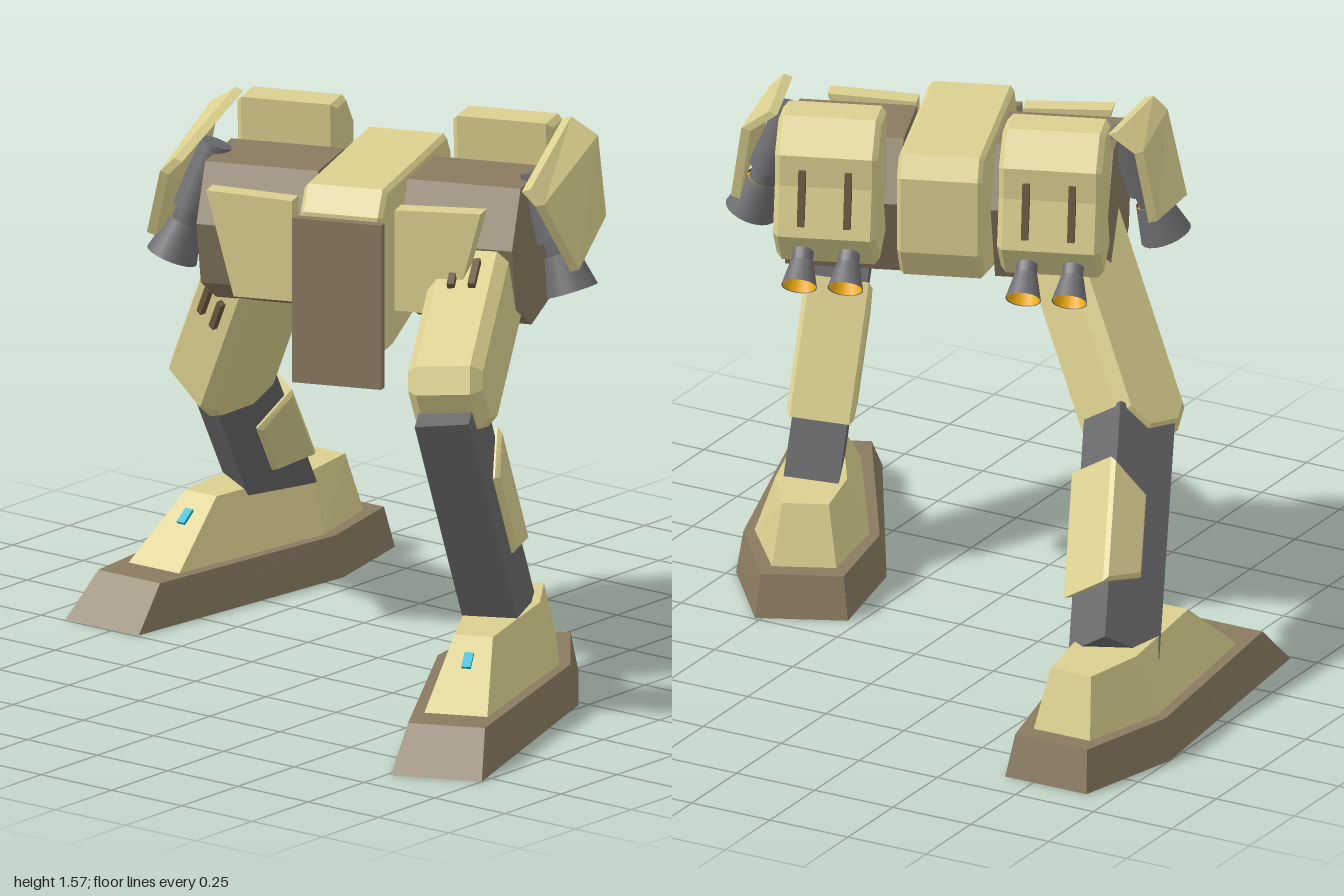
import * as THREE from 'three';

const V = (x, y, z) => new THREE.Vector3(x, y, z);
const rad = THREE.MathUtils.degToRad;
const flat = (color) => new THREE.MeshStandardMaterial({ color, flatShading: true, side: THREE.DoubleSide });
const smooth = (color) => new THREE.MeshStandardMaterial({ color, side: THREE.DoubleSide });
const armor = flat(0xdbd08f), brown = flat(0x8a7a60), grey = flat(0x68686a), vent = flat(0x6b5a40);
const cyan = flat(0x18b8d0), metal = smooth(0x6e6e72), gold = smooth(0xf5b010);

function add(parent, name, geometry, material, x = 0, y = 0, z = 0) {
  const m = new THREE.Mesh(geometry, material);
  m.name = name;
  m.position.set(x, y, z);
  parent.add(m);
  return m;
}

function group(parent, name) {
  const g = new THREE.Group();
  g.name = name;
  parent.add(g);
  return g;
}

// Side profile of [z, y] points, extruded across x and centred on x = 0
function sideProfile(points, width, bevel = 0) {
  const geo = new THREE.ExtrudeGeometry(new THREE.Shape(points.map(([z, y]) => new THREE.Vector2(z, y))), {
    depth: width - 2 * bevel, bevelEnabled: bevel > 0, bevelSize: bevel, bevelThickness: bevel,
    bevelOffset: -bevel, bevelSegments: 1,
  });
  geo.translate(0, 0, bevel - width / 2);
  return geo.rotateY(-Math.PI / 2);
}

// Front outline of [x, y] points, extruded along z
function plate(points, depth) {
  const shape = new THREE.Shape(points.map(([x, y]) => new THREE.Vector2(x, y)));
  return new THREE.ExtrudeGeometry(shape, { depth, bevelEnabled: false });
}

// Closed solid between two loops; loops run counterclockwise seen from loop b
function loft(a, b) {
  const n = a.length, index = [], pos = [...a, ...b].flatMap((p) => p.toArray());
  for (let i = 0; i < n; i++) {
    const j = (i + 1) % n;
    index.push(i, j, n + j, i, n + j, n + i);
    if (i > 0 && i < n - 1) index.push(0, i + 1, i, n, n + i, n + i + 1);
  }
  const geo = new THREE.BufferGeometry();
  geo.setAttribute('position', new THREE.Float32BufferAttribute(pos, 3));
  geo.setIndex(index);
  const out = geo.toNonIndexed();
  out.computeVertexNormals();
  return out;
}

// Places a group at a with -y running to b and +z facing the given yaw
function aim(g, a, b, yaw) {
  const y = a.clone().sub(b).normalize();
  const z = V(Math.sin(rad(yaw)), 0, Math.cos(rad(yaw)));
  z.addScaledVector(y, -z.dot(y)).normalize();
  g.quaternion.setFromRotationMatrix(new THREE.Matrix4().makeBasis(y.clone().cross(z), y, z));
  g.position.copy(a);
  return a.distanceTo(b);
}

// Six-sided sole outline from front, middle and rear [half width, z]
function soleRing(y, f, m, r) {
  return [f, m, r].map(([w, z]) => V(w, y, z)).concat([r, m, f].map(([w, z]) => V(-w, y, z)));
}

function foot(parent, name, x, z, yaw) {
  const g = group(parent, name);
  g.position.set(x, 0, z);
  g.rotation.y = rad(yaw);
  add(g, 'sole', loft(
    soleRing(0, [0.13, 0.81], [0.21, 0], [0.13, -0.33]),
    soleRing(0.12, [0.11, 0.69], [0.19, 0.01], [0.115, -0.3])), brown);
  add(g, 'footArmor', loft(
    soleRing(0.12, [0.09, 0.58], [0.16, 0.02], [0.09, -0.24]),
    soleRing(0.29, [0.055, 0.37], [0.1, 0], [0.065, -0.19])), armor);
  add(g, 'footLight', new THREE.BoxGeometry(0.026, 0.012, 0.05), cyan, 0, 0.237, 0.44).rotation.x = rad(39);
}

function leg(parent, side, hip, kneeEnd, knee, ankle, yaw) {
  // Thigh with a chamfered knee end
  const t = group(parent, side + 'Thigh');
  const L = aim(t, hip, kneeEnd, yaw);
  add(t, 'thighArmor', sideProfile([
    [0.1, 0.06], [0.128, 0], [0.128, -L + 0.06], [0.075, -L], [-0.06, -L], [-0.128, -L + 0.08], [-0.128, 0], [-0.1, 0.06],
  ], 0.215, 0.03), armor);
  for (const x of [-0.03, 0.03]) {
    add(t, 'thighVent', new THREE.BoxGeometry(0.02, 0.1, 0.03), vent, x, -L * 0.45, 0.13);
  }
  // Shin with a calf guard behind
  const s = group(parent, side + 'Shin');
  const S = aim(s, knee, ankle, yaw);
  add(s, 'shin', new THREE.BoxGeometry(0.155, S, 0.2), grey, 0, -S / 2, 0);
  add(s, 'calfGuard', sideProfile([
    [0.01, -0.35 * S], [-0.125, -0.25 * S], [-0.125, -0.78 * S], [0.01, -0.7 * S],
  ], 0.19, 0.012), armor);
}

// Flared open nozzle with a bright inside, pointing along -y
function bell(g, y, r1, r2, h) {
  add(g, 'nozzleBell', new THREE.CylinderGeometry(r1, r2, h, 20, 1, true), metal, 0, y - h / 2, 0);
  add(g, 'nozzleInside', new THREE.CylinderGeometry(r1 * 0.9, r2 * 0.94, h * 0.96, 20, 1, true), gold, 0, y - h / 2, 0);
  add(g, 'nozzleBack', new THREE.CircleGeometry(r1, 20), gold, 0, y - h * 0.1, 0).rotation.x = Math.PI / 2;
}

function hipSide(p, side, s) {
  const q = (x, y, z) => V(s * x, y, z);
  const mirrored = (a, b) => (s > 0 ? loft(a, b) : loft(a.reverse(), b.reverse()));
  const g = group(p, side + 'HipAssembly');

  add(g, 'hipBlock', sideProfile([
    [0.2, 1.3], [0.12, 1.46], [-0.12, 1.46], [-0.22, 1.3], [-0.14, 1.07], [0.02, 1.04], [0.16, 1.12],
  ], 0.33), brown, s * 0.295);

  add(g, 'frontSkirt', plate([[0.15, 1.42], [0.4, 1.43], [0.32, 1.13], [0.15, 1.13]].map(([x, y]) => [s * x, y]), 0.06),
    armor, 0, 0, 0.24);

  // Rear pod with vents and twin small nozzles
  add(g, 'rearPod', sideProfile([
    [-0.16, 1.57], [-0.27, 1.57], [-0.345, 1.48], [-0.345, 1.39], [-0.38, 1.25], [-0.3, 1.15], [-0.18, 1.2],
  ], 0.29, 0.015), armor, s * 0.315);
  for (const x of [0.25, 0.38]) {
    const v = add(g, 'podVent', new THREE.BoxGeometry(0.02, 0.16, 0.025), vent, s * x, 1.36, -0.357);
    v.rotation.x = rad(10);
    const n = group(g, 'podNozzle');
    aim(n, q(x, 1.21, -0.31), q(x, 1.11, -0.41), 0);
    add(n, 'nozzleNeck', new THREE.CylinderGeometry(0.03, 0.03, 0.08, 16), metal, 0, -0.04, 0);
    bell(n, -0.06, 0.032, 0.05, 0.075);
  }

  // Bent side shield: narrow top panel and tall lower panel
  const top = [q(0.49, 1.57, -0.25), q(0.52, 1.49, 0.22)];
  const fold = [q(0.565, 1.52, -0.26), q(0.56, 1.45, 0.22)];
  const low = [q(0.6, 1.3, -0.225), q(0.63, 1.24, 0.12)];
  const panel = (u, v) => {
    const outer = [u[0], u[1], v[1], v[0]];
    return mirrored(outer.map((c) => c.clone().add(q(-0.025, -0.008, 0))), outer);
  };
  add(g, 'shieldTop', panel(top, fold), armor);
  add(g, 'shieldSide', panel(fold, low), armor);

  // Large side thruster
  const t = group(g, 'sideThruster');
  aim(t, q(0.465, 1.48, 0), q(0.585, 1.15, 0.035), 0);
  add(t, 'thrusterBody', new THREE.CylinderGeometry(0.045, 0.055, 0.2, 20), metal, 0, -0.1, 0);
  add(t, 'thrusterNeck', new THREE.CylinderGeometry(0.04, 0.04, 0.05, 20), metal, 0, -0.225, 0);
  bell(t, -0.24, 0.048, 0.074, 0.11);
}

export function createModel() {
  const model = new THREE.Group();
  model.name = 'walkerLegs';

  // Pelvis, turned toward the leading left leg
  const p = group(model, 'pelvis');
  p.position.set(0.06, 0, 0.085);
  p.rotation.y = rad(21);
  add(p, 'waistBlock', sideProfile([
    [0.28, 1.47], [0.325, 1.4], [0.325, 1.0], [0.22, 1.0], [-0.26, 1.11], [-0.32, 1.2], [-0.32, 1.42], [-0.28, 1.48],
  ], 0.24, 0.012), armor);
  add(p, 'frontFlap', plate([[-0.13, 1.39], [0.13, 1.39], [0.13, 0.915], [-0.13, 0.915]], 0.03), brown, 0, 0, 0.33);
  hipSide(p, 'left', 1);
  hipSide(p, 'right', -1);

  // Legs in mid stride
  leg(model, 'left', V(0.33, 1.3, -0.1), V(0.64, 0.93, 0.49), V(0.615, 0.95, 0.46), V(0.565, 0.26, 0.16), 25);
  leg(model, 'right', V(-0.22, 1.28, 0.17), V(-0.585, 0.67, -0.01), V(-0.56, 0.74, -0.03), V(-0.785, 0.25, -0.51), -10);
  foot(model, 'leftFoot', 0.54, 0.111, 25);
  foot(model, 'rightFoot', -0.79, -0.57, 0);
  return model;
}
